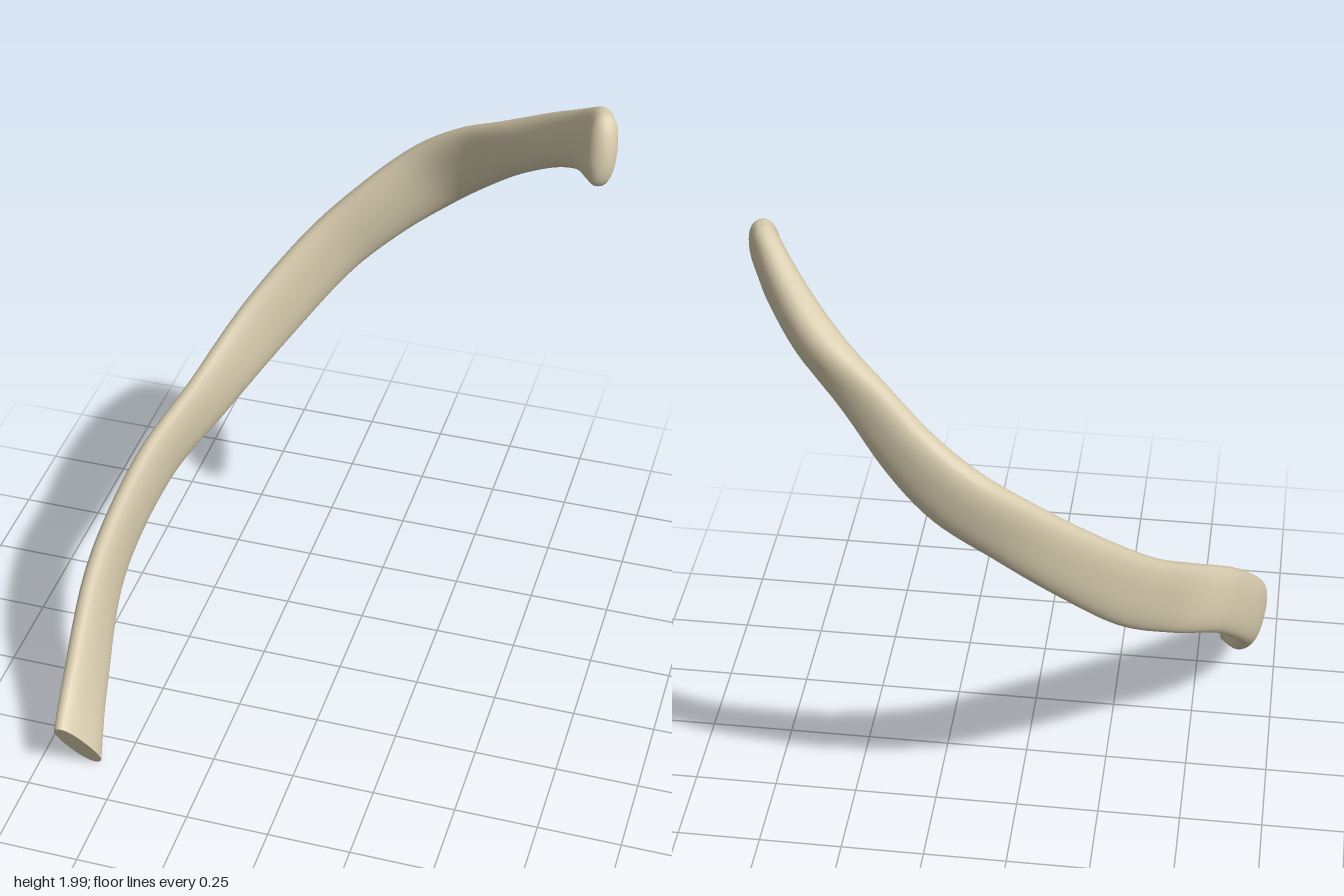
import * as THREE from 'three';

// Stations along the bone: centre x,y,z, half-height vector x,y,z, half thickness
const STATIONS = [
  [-0.625, 0.10, 0.65, -0.045, 0.092, 0.04, 0.036],
  [-0.655, 0.205, 0.49, -0.03, 0.075, 0.065, 0.038],
  [-0.668, 0.44, 0.24, -0.015, 0.078, 0.066, 0.04],
  [-0.595, 0.665, 0.0, -0.02, 0.078, 0.06, 0.038],
  [-0.48, 0.82, -0.2, -0.03, 0.085, 0.055, 0.037],
  [-0.355, 0.99, -0.4, -0.05, 0.085, 0.045, 0.038],
  [-0.2, 1.18, -0.545, -0.06, 0.077, 0.03, 0.04],
  [-0.05, 1.325, -0.615, -0.065, 0.077, 0.01, 0.042],
  [0.1, 1.45, -0.647, -0.07, 0.077, -0.01, 0.046],
  [0.23, 1.555, -0.612, -0.06, 0.073, -0.02, 0.046],
  [0.36, 1.66, -0.527, -0.045, 0.065, -0.02, 0.044],
  [0.5, 1.765, -0.43, -0.03, 0.06, -0.04, 0.055],
  [0.6, 1.845, -0.325, -0.015, 0.075, -0.035, 0.05],
  [0.658, 1.89, -0.24, 0, 0.1, -0.03, 0.044],
  [0.678, 1.9, -0.2, 0, 0.1, -0.028, 0.043],
];
const SIDES = 32, RINGS = 112, DOME = 8;

// Smooth loft parameters: centre, height and thickness share one parameter
const curveOf = (f) => new THREE.CatmullRomCurve3(STATIONS.map(f), false, 'catmullrom', 0.5);
const centres = curveOf((s) => new THREE.Vector3(s[0], s[1], s[2]));
const heights = curveOf((s) => new THREE.Vector3(s[3], s[4], s[5]));
const widths = curveOf((s) => new THREE.Vector3(s[6], 0, 0));

function ringAt(t, scale = 1, push = 0) {
  const c = centres.getPoint(t), h = heights.getPoint(t), tan = centres.getTangent(t);
  const w = tan.clone().cross(h).normalize().multiplyScalar(widths.getPoint(t).x);
  c.addScaledVector(tan, push);
  const soft = (v) => Math.sign(v) * Math.abs(v) ** 0.85;
  return Array.from({ length: SIDES }, (_, j) => {
    const a = (j / SIDES) * Math.PI * 2;
    return c.clone()
      .addScaledVector(h, soft(Math.cos(a)) * scale)
      .addScaledVector(w, soft(Math.sin(a)) * scale);
  });
}

function loft(rings) {
  const index = [];
  for (let i = 0; i < rings.length - 1; i++) {
    for (let j = 0; j < SIDES; j++) {
      const k = (j + 1) % SIDES, a = i * SIDES, b = a + SIDES;
      index.push(a + j, a + k, b + j, a + k, b + k, b + j);
    }
  }
  const g = new THREE.BufferGeometry().setFromPoints(rings.flat());
  g.setIndex(index);
  g.computeVertexNormals();
  return g;
}

// Flat cut face closing the first ring
function cutFace(ring) {
  const centre = ring.reduce((s, p) => s.add(p), new THREE.Vector3()).divideScalar(SIDES);
  const index = [];
  for (let j = 0; j < SIDES; j++) index.push(SIDES, (j + 1) % SIDES, j);
  const g = new THREE.BufferGeometry().setFromPoints([...ring, centre]);
  g.setIndex(index);
  g.computeVertexNormals();
  return g;
}

export function createModel() {
  const group = new THREE.Group();
  group.name = 'ribBone';
  const bone = new THREE.MeshStandardMaterial({ color: 0xd8ccae });
  bone.name = 'bone';
  const add = (name, geometry) => {
    const mesh = new THREE.Mesh(geometry, bone);
    mesh.name = name;
    group.add(mesh);
  };

  // Curved shaft running into a rounded head
  const rings = [];
  for (let i = 0; i <= RINGS; i++) rings.push(ringAt(i / RINGS));
  for (let i = 1; i <= DOME; i++) {
    const a = (i / DOME) * Math.PI / 2;
    rings.push(ringAt(1, Math.max(Math.cos(a), 0.001), Math.sin(a) * 0.045));
  }
  add('shaftAndHead', loft(rings));

  // Flat front end
  add('frontEnd', cutFace(rings[0]));
  return group;
}
